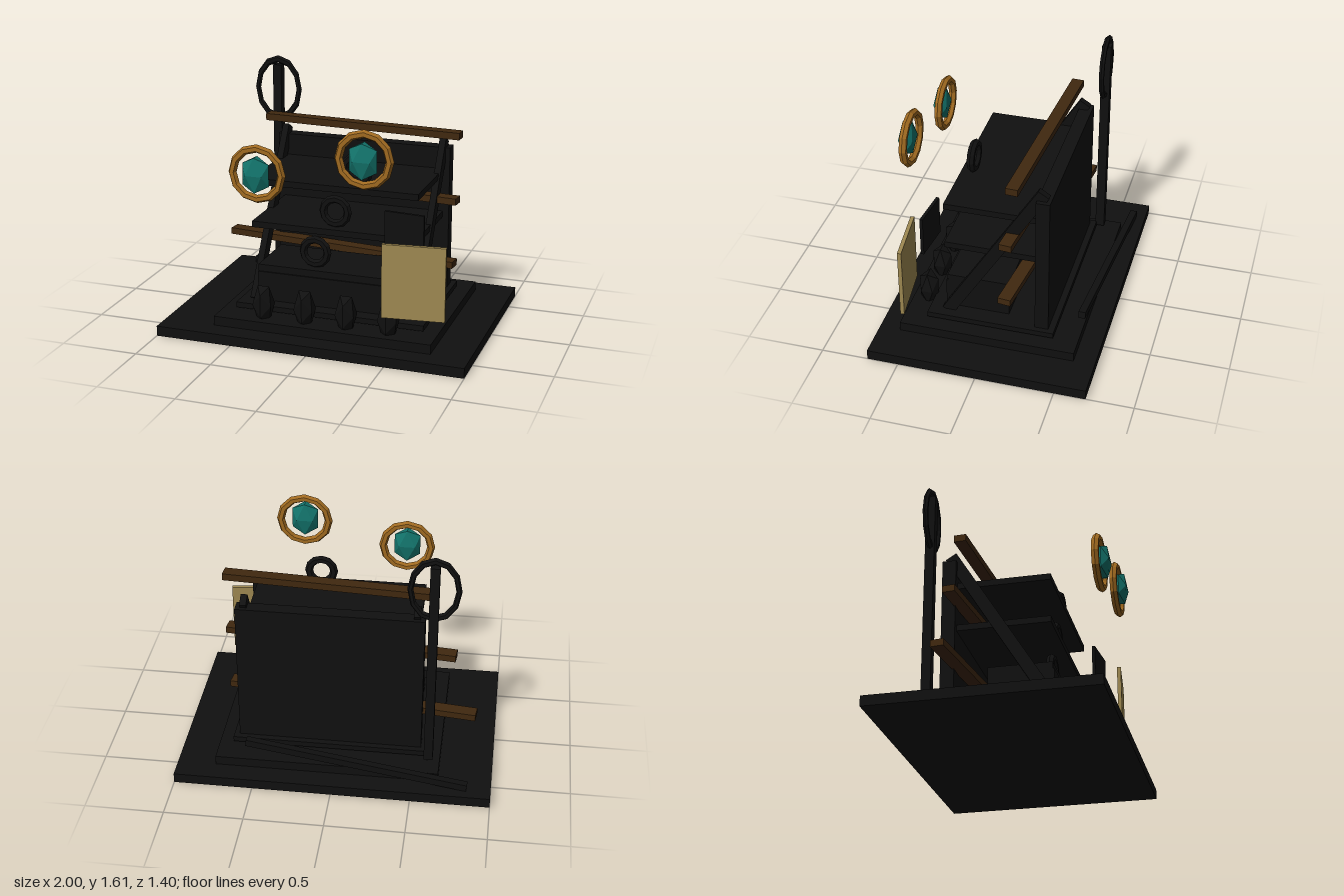
import * as THREE from 'three';

const mat = (name, color) => {
  const m = new THREE.MeshStandardMaterial({ color, flatShading: true });
  m.name = name;
  return m;
};

export function createModel() {
  const black = mat('charred black', 0x101010);
  const brown = mat('dark wood', 0x40280f);
  const gold = mat('old gold', 0xa06a20);
  const teal = mat('teal crystal', 0x13746c);
  const tan = mat('parchment', 0xa08a52);
  const root = new THREE.Group();
  root.name = 'marketStall';

  const add = (name, geo, material, x, y, z) => {
    const mesh = new THREE.Mesh(geo, material);
    mesh.name = name;
    mesh.position.set(x, y, z);
    root.add(mesh);
    return mesh;
  };
  // box given by its limits on each axis
  const block = (name, m, [x0, x1], [y0, y1], [z0, z1]) =>
    add(name, new THREE.BoxGeometry(x1 - x0, y1 - y0, z1 - z0), m,
      (x0 + x1) / 2, (y0 + y1) / 2, (z0 + z1) / 2);
  // beam running between two points
  const beam = (name, m, a, b, w, d) => {
    const A = new THREE.Vector3(...a), B = new THREE.Vector3(...b);
    const c = A.clone().add(B).multiplyScalar(0.5);
    const mesh = add(name, new THREE.BoxGeometry(w, d, A.distanceTo(B)), m, c.x, c.y, c.z);
    mesh.lookAt(B);
    return mesh;
  };
  const ring = (name, m, x, y, z, outer, tube, tall = 1) => {
    const mesh = add(name, new THREE.TorusGeometry(outer - tube, tube, 6, 12), m, x, y, z);
    mesh.scale.y = tall;
    return mesh;
  };

  // stepped base
  block('base', black, [-1, 1], [0, 0.065], [-0.7, 0.7]);
  block('plinth', black, [-0.665, 0.755], [0.065, 0.125], [-0.565, 0.565]);
  block('floorSlab', black, [-0.575, 0.665], [0.14, 0.175], [-0.41, 0.41]);

  // back wall, counter and shelves
  block('backWall', black, [-0.54, 0.63], [0.175, 1.12], [-0.37, -0.283]);
  block('counter', black, [-0.46, 0.55], [0.175, 0.41], [-0.095, 0.305]);
  block('counterFront', black, [-0.46, 0.55], [0.175, 0.365], [0.305, 0.315]);
  for (const y of [0.655, 0.94]) {
    block('shelf', black, [-0.5, 0.59], [y, y + 0.04], [-0.285, 0.305]);
  }

  // slanting side braces
  for (const x of [-0.49, 0.58]) {
    beam('sideBrace', black, [x, 0.165, 0.293], [x, 1.165, -0.325], 0.042, 0.078);
  }

  // crooked wooden planks
  beam('topPlank', brown, [-0.595, 1.243, -0.247], [0.73, 1.243, -0.163], 0.078, 0.045);
  beam('middlePlank', brown, [-0.735, 0.828, -0.272], [0.73, 0.828, -0.12], 0.08, 0.043);
  beam('lowerPlank', brown, [-0.878, 0.408, -0.293], [0.72, 0.408, -0.11], 0.085, 0.043);

  // rings displayed on the counter and shelves
  [[-0.1, 0.51], [0.035, 0.793], [0.175, 1.08]].forEach(([x, y]) =>
    ring('shelfRing', black, x, y, 0.23, 0.107, 0.026));

  // tall post with an oval hoop
  block('post', black, [-0.622, -0.565], [0.15, 1.55], [-0.462, -0.403]);
  ring('postHoop', black, -0.593, 1.387, -0.43, 0.163, 0.018, 1.36);

  // standing stones along the front
  [-0.365, -0.09, 0.182, 0.457].forEach((x) => {
    add('standingStone', new THREE.IcosahedronGeometry(0.072, 0), black, x, 0.21, 0.462)
      .scale.y = 1.95;
  });

  // floating gold rings with crystals
  [[-0.345, 1.1], [0.335, 1.25]].forEach(([x, y]) => {
    ring('goldRing', gold, x, y, 0.582, 0.185, 0.026);
    const gem = new THREE.IcosahedronGeometry(1, 0);
    gem.rotateY(Math.PI / 2);
    gem.scale(0.1, 0.13, 0.054);
    add('crystal', gem, teal, x, y, 0.604);
  });

  // hanging notice boards
  add('noticeBoard', new THREE.BoxGeometry(0.39, 0.47, 0.025), tan, 0.635, 0.5, 0.538)
    .rotation.y = 0.115;
  add('darkBoard', new THREE.BoxGeometry(0.255, 0.26, 0.02), black, 0.538, 0.76, 0.412)
    .rotation.y = -0.1;

  // fallen bar leaning at the back
  beam('fallenBar', black, [-0.85, 0.085, -0.617], [0.55, 0.268, -0.565], 0.045, 0.045);

  return root;
}
